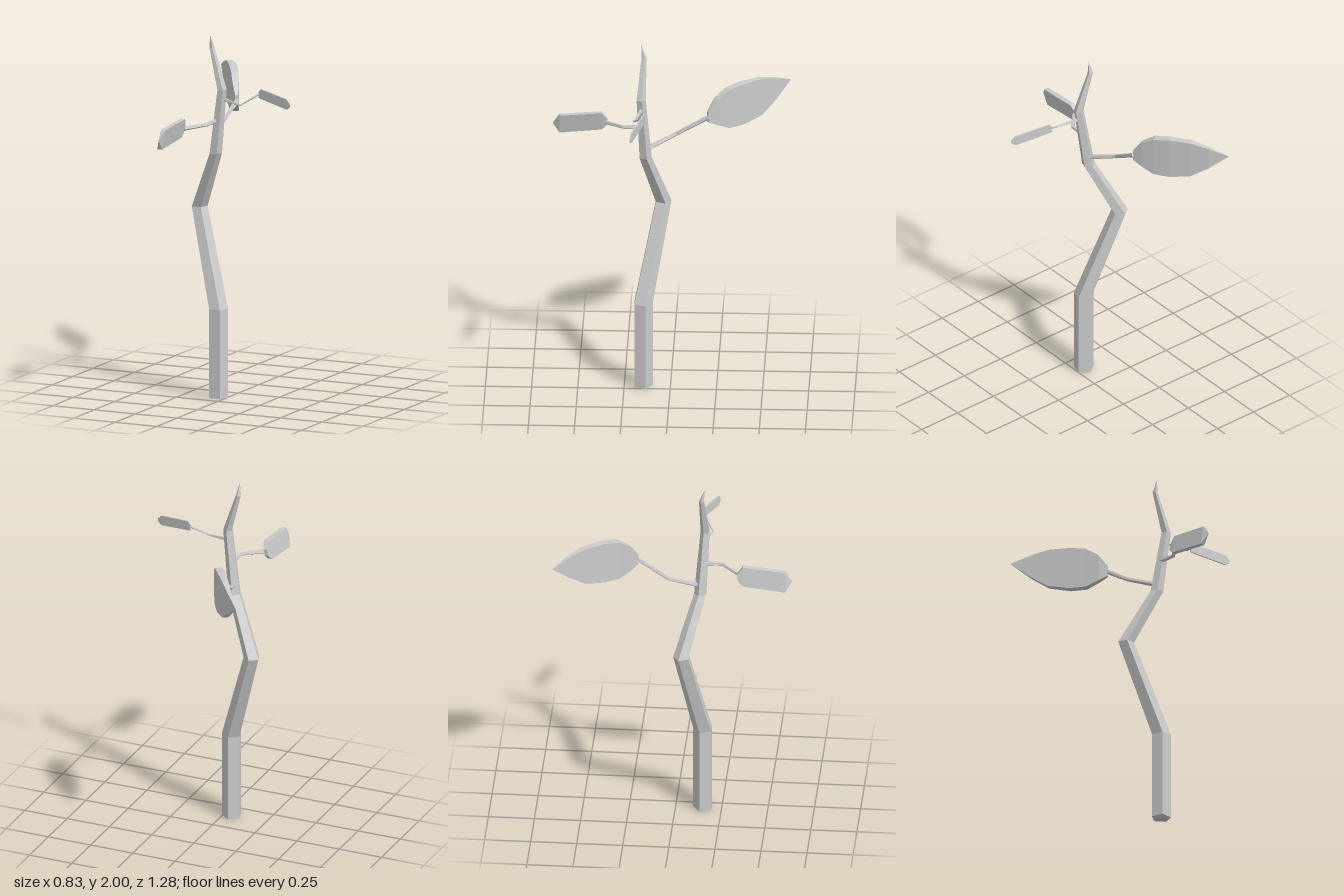
import * as THREE from 'three';

const vec = (a) => new THREE.Vector3(...a);
const UP = new THREE.Vector3(0, 1, 0);

// Skin a row of equal-sized rings, with flat facets and closed ends.
function loft(name, rings) {
  const pos = [];
  const tri = (a, b, c) => {
    const n = b.clone().sub(a).cross(c.clone().sub(a));
    if (n.length() > 1e-9) pos.push(...a.toArray(), ...b.toArray(), ...c.toArray());
  };
  const n = rings[0].length;
  for (let i = 0; i < rings.length - 1; i++) {
    for (let j = 0; j < n; j++) {
      const k = (j + 1) % n;
      const [a, b, c, d] = [rings[i][j], rings[i][k], rings[i + 1][k], rings[i + 1][j]];
      tri(a, b, c);
      tri(a, c, d);
    }
  }
  const first = rings[0], last = rings[rings.length - 1];
  for (let j = 1; j < n - 1; j++) {
    tri(first[0], first[j + 1], first[j]);
    tri(last[0], last[j], last[j + 1]);
  }
  const geo = new THREE.BufferGeometry();
  geo.setAttribute('position', new THREE.Float32BufferAttribute(pos, 3));
  geo.computeVertexNormals();
  const mesh = new THREE.Mesh(geo, new THREE.MeshStandardMaterial({ color: 0xcccccc, flatShading: true }));
  mesh.name = name;
  return mesh;
}

// Regular pentagon around a centre, spanned by u and v.
function pentagon(center, r, u, v) {
  return Array.from({ length: 5 }, (_, i) => {
    const a = Math.PI + (i * Math.PI * 2) / 5;
    return vec(center).addScaledVector(u, r * Math.cos(a)).addScaledVector(v, r * Math.sin(a));
  });
}

// Thin bent twig; points are [x, y, z, radius].
function stalk(name, points) {
  const p = points.map((q) => vec(q.slice(0, 3)));
  return loft(name, points.map((q, i) => {
    const w = p[Math.min(i + 1, p.length - 1)].clone().sub(p[Math.max(i - 1, 0)]).normalize();
    const v = w.clone().cross(UP).normalize();
    const u = v.clone().cross(w);
    return pentagon(q.slice(0, 3), q[3], u, v);
  }));
}

// Slab leaf; sections are [distance, top y, bottom y, half thickness, sideways bend].
// lean is the sideways shift per unit of height.
function leaf(name, start, direction, lean, sections) {
  const w = vec(direction).normalize();
  const v = w.clone().cross(UP);
  const corner = (s, y, side) => vec(start)
    .addScaledVector(w, s)
    .addScaledVector(v, side + lean * (y - start[1]))
    .setY(y);
  return loft(name, sections.map(([s, top, bottom, t, bend = 0]) => [
    corner(s, top, bend + t), corner(s, bottom, bend + t),
    corner(s, bottom, bend - t), corner(s, top, bend - t),
  ]));
}

export function createModel() {
  const plant = new THREE.Group();
  plant.name = 'plant';

  // Crooked five-sided trunk, tapering to a point
  const trunk = [
    [-0.048, 0, 0.15, 0.055],
    [-0.048, 0.49, 0.15, 0.055],
    [-0.213, 1.025, 0.046, 0.046],
    [-0.07, 1.345, 0.138, 0.036],
    [-0.021, 1.705, 0.16, 0.027],
    [-0.089, 1.93, 0.145, 0.015],
    [-0.09, 2.0, 0.16, 0],
  ];
  const Z = new THREE.Vector3(0, 0, 1), X = new THREE.Vector3(1, 0, 0);
  plant.add(loft('trunk', trunk.map(([x, y, z, r]) => pentagon([x, y, z], r, Z, X))));

  // Large leaf reaching back
  plant.add(stalk('backStalk', [
    [-0.065, 1.395, 0.13, 0.014],
    [-0.125, 1.46, -0.03, 0.011],
    [-0.107, 1.57, -0.205, 0.013],
  ]));
  plant.add(leaf('backLeaf', [-0.11, 1.6, -0.2], [-0.31, 0, -0.44], 0, [
    [0, 1.6, 1.54, 0.008],
    [0.05, 1.665, 1.515, 0.018, 0.003],
    [0.12, 1.71, 1.485, 0.021, 0.01],
    [0.21, 1.725, 1.485, 0.021, 0.014],
    [0.33, 1.725, 1.51, 0.017, 0.014],
    [0.43, 1.7, 1.575, 0.011, 0.01],
    [0.538, 1.66, 1.66, 0],
  ]));

  // Thick leaf reaching forward
  plant.add(stalk('frontStalk', [
    [-0.058, 1.53, 0.15, 0.015],
    [-0.058, 1.525, 0.255, 0.01],
    [-0.15, 1.513, 0.36, 0.012],
  ]));
  // lean is negative because this leaf's sideways axis points to -x
  plant.add(leaf('frontLeaf', [-0.163, 1.505, 0.345], [0, 0, 1], -0.2, [
    [0, 1.53, 1.495, 0.01],
    [0.03, 1.57, 1.465, 0.014],
    [0.26, 1.55, 1.44, 0.014],
    [0.295, 1.5, 1.495, 0.001],
  ]));

  // Small thin leaf on the left
  plant.add(stalk('leftStalk', [
    [-0.025, 1.652, 0.15, 0.011],
    [0.105, 1.634, 0.193, 0.005],
    [0.195, 1.695, 0.134, 0.006],
  ]));
  plant.add(leaf('leftLeaf', [0.19, 1.69, 0.132], [0.225, 0, 0.073], 0, [
    [0, 1.705, 1.672, 0.003],
    [0.016, 1.722, 1.668, 0.004],
    [0.21, 1.693, 1.637, 0.004],
    [0.236, 1.667, 1.655, 0.002],
  ]));

  return plant;
}
